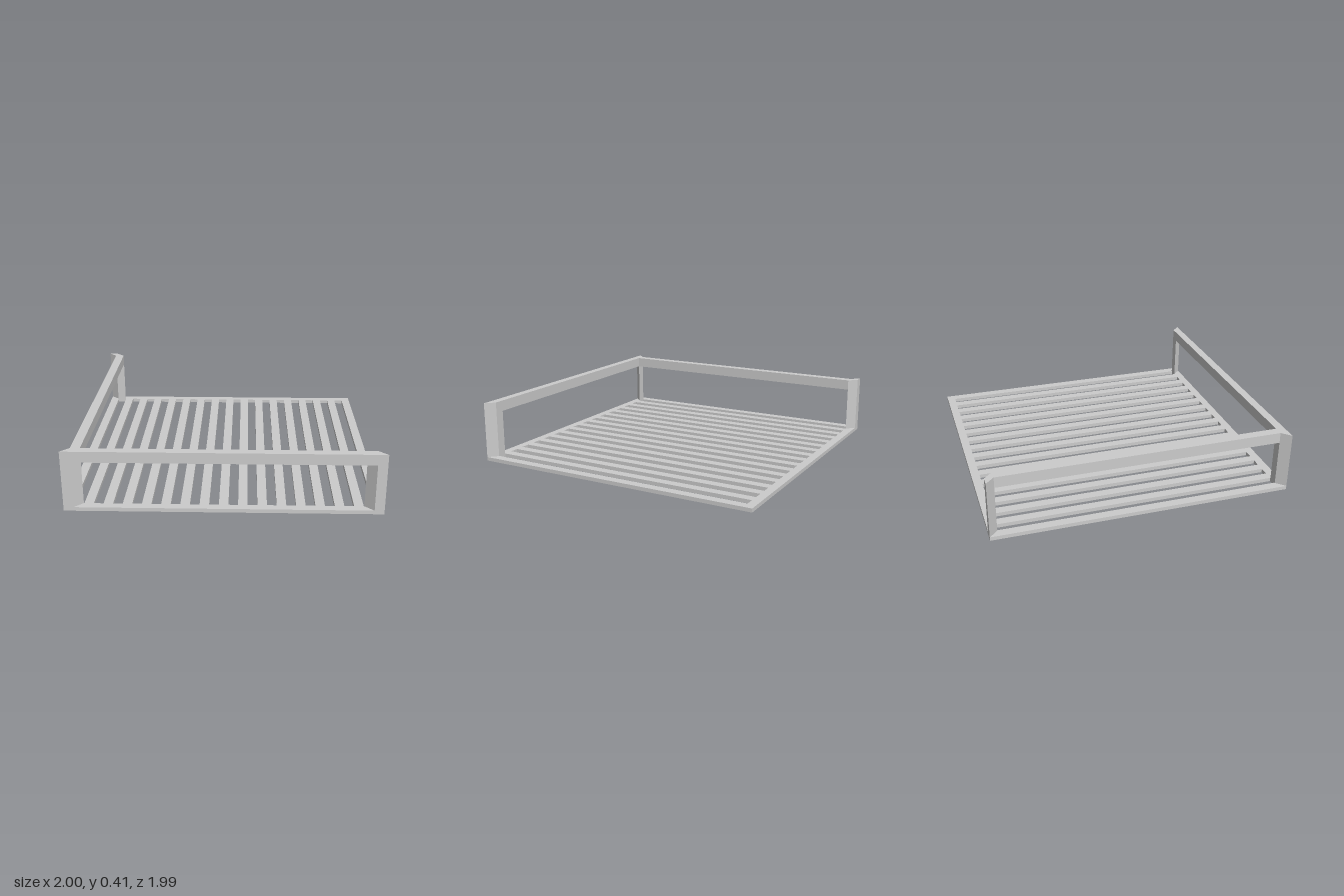
import * as THREE from 'three';

const X = 1, Z = 0.993;             // half width and half depth
const BASE = 0.025, UNDER = 0.333, TOP = 0.405;
const W = 0.062, D = 0.056;         // bar width and mitre depth

const material = new THREE.MeshStandardMaterial({ color: 0xcccccc, flatShading: true });

// Shape from plan points [x, z], laid out for extrusion upward
const plan = (points, Type = THREE.Shape) =>
  new Type(points.map(([x, z]) => new THREE.Vector2(x, -z)));

// Rectangle in plan
const rect = (x0, x1, z0, z1) => [[x0, z0], [x0, z1], [x1, z1], [x1, z0]];

// Upright prism from a plan shape between two heights
function prism(name, shape, y0, y1) {
  const geometry = new THREE.ExtrudeGeometry(shape, { depth: y1 - y0, bevelEnabled: false });
  geometry.rotateX(-Math.PI / 2).translate(0, y0, 0);
  const mesh = new THREE.Mesh(geometry, material);
  mesh.name = name;
  return mesh;
}

// Slanted post whose ends follow the corner mitre; sx and sz choose the corner
function post(name, sx, sz) {
  const points = [[X, Z], [X - W, Z], [X - D - W, Z - D], [X - D, Z - D]];
  return prism(name, plan(points.map(([x, z]) => [x * sx, z * sz])), BASE, UNDER);
}

export function createModel() {
  const model = new THREE.Group();
  model.name = 'slattedPlatform';

  // Base: one thin plate with evenly spaced slots leaving 17 slats
  const slats = 17, slat = 0.06;
  const pitch = (2 * X - slat) / (slats - 1);
  const base = plan(rect(-X, X, -Z, Z));
  for (let i = 0; i < slats - 1; i++) {
    const x = -X + i * pitch;
    base.holes.push(plan(rect(x + slat, x + pitch, -Z + D, Z - D), THREE.Path));
  }
  model.add(prism('slattedBase', base, 0, BASE));

  // Three corner posts; the back left corner stays open
  model.add(post('frontLeftPost', 1, 1));
  model.add(post('frontRightPost', -1, 1));
  model.add(post('backRightPost', -1, -1));

  // Front rail with mitred ends
  model.add(prism('frontRail',
    plan([[-X, Z], [X, Z], [X - D, Z - D], [-X + D, Z - D]]), UNDER, TOP));

  // Side rail, set in from the edge, ending in the slanted top of the back post
  model.add(prism('sideRail', plan([
    [-X + D, Z - D], [-X + D + W, Z - D], [-X + D + W, -Z + D],
    [-X + W, -Z], [-X, -Z], [-X + D, -Z + D],
  ]), UNDER, TOP));

  return model;
}
